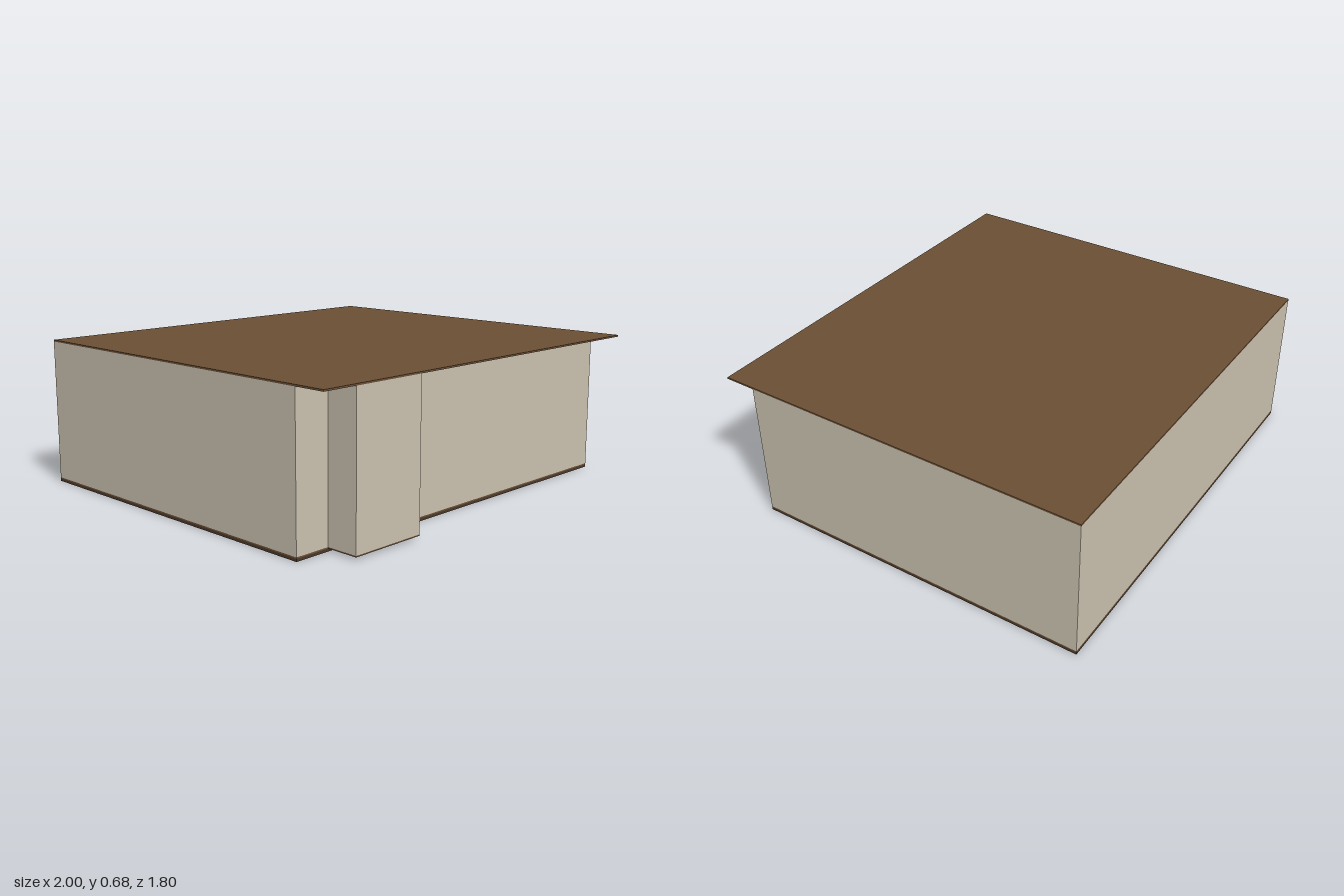
import * as THREE from 'three';

const BACK = -0.9, FRONT = 0.75, EAVE = 0.9;

// Ground plan (x, z): main block with a projecting bay on the front
const PLAN = [
  [-1, BACK], [1, BACK], [1, FRONT], [-0.46, FRONT],
  [-0.46, EAVE], [-0.83, EAVE], [-0.83, FRONT], [-1, FRONT],
];

export function createModel() {
  const house = new THREE.Group();
  house.name = 'house';

  const add = (name, geometry, color) => {
    const material = new THREE.MeshStandardMaterial({ color });
    const mesh = new THREE.Mesh(geometry, material);
    mesh.name = name;
    house.add(mesh);
  };

  // Raises the ground plan from y0 to y1
  const raisePlan = (y0, y1) => {
    const shape = new THREE.Shape(PLAN.map(([x, z]) => new THREE.Vector2(x, z)));
    return new THREE.ExtrudeGeometry(shape, { depth: y1 - y0, bevelEnabled: false })
      .rotateX(Math.PI / 2)
      .translate(0, y1, 0);
  };

  // Flat slab the full width of the house
  const slab = (y0, y1, z0, z1) =>
    new THREE.BoxGeometry(2, y1 - y0, z1 - z0).translate(0, (y0 + y1) / 2, (z0 + z1) / 2);

  add('foundation', slab(0, 0.012, BACK, FRONT), 0x4a3728);
  add('floor', raisePlan(0.012, 0.018), 0x6b4f35);
  add('walls', raisePlan(0.018, 0.676), 0xc9c1af);
  add('roof', slab(0.676, 0.684, BACK, EAVE), 0x6b4f35);

  return house;
}
